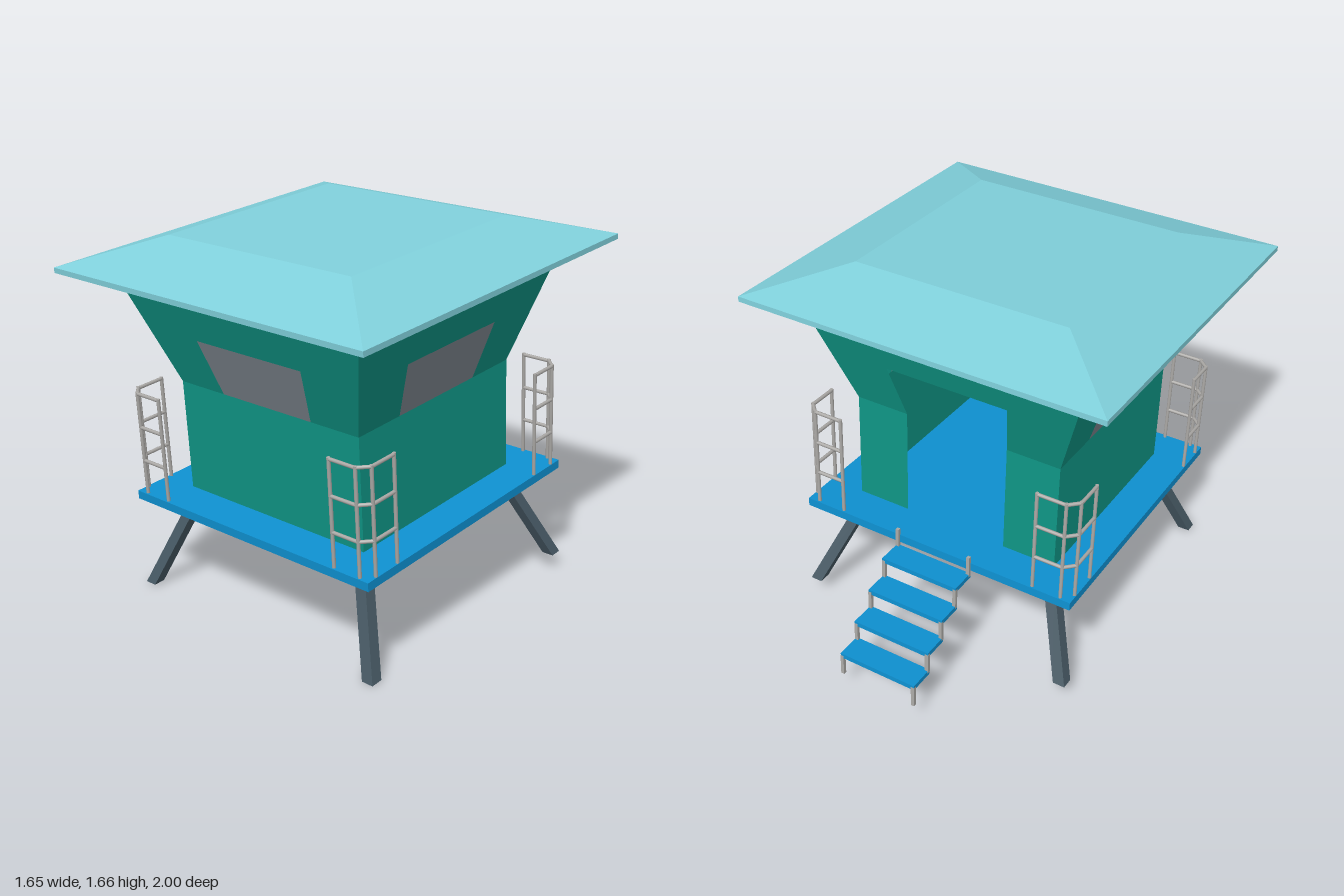
import * as THREE from 'three';
import { mergeGeometries } from 'three/addons/utils/BufferGeometryUtils.js';

const mat = (name, color, extra = {}) => new THREE.MeshStandardMaterial({ name, color, ...extra });
const V = (x, y, z) => new THREE.Vector3(x, y, z);

export function createModel() {
  const roofMat = mat('pale aqua', 0x7fcfda);
  const wallMat = mat('teal green', 0x0f9484, { side: THREE.DoubleSide });
  const glassMat = mat('window grey', 0x7f8890, { side: THREE.DoubleSide });
  const deckMat = mat('deck blue', 0x0e90d0);
  const legMat = mat('slate', 0x465863);
  const railMat = mat('rail grey', 0xaaa8a5);

  const add = (parent, name, geo, material, x = 0, y = 0, z = 0) => {
    const mesh = new THREE.Mesh(geo, material);
    mesh.name = name;
    mesh.position.set(x, y, z);
    parent.add(mesh);
    return mesh;
  };
  const makeGroup = (parent, name) => {
    const g = new THREE.Group();
    g.name = name;
    parent.add(g);
    return g;
  };

  // Round rod between two points
  const rod = (a, b, r) => {
    const d = b.clone().sub(a);
    const g = new THREE.CylinderGeometry(r, r, d.length(), 8);
    g.applyQuaternion(new THREE.Quaternion().setFromUnitVectors(V(0, 1, 0), d.normalize()));
    const m = a.clone().add(b).multiplyScalar(0.5);
    return g.translate(m.x, m.y, m.z);
  };
  // Square bar whose ends stay level, leaning from a (bottom) to b (top)
  const leaningBar = (a, b, w) => {
    const g = new THREE.BoxGeometry(w, 1, w).translate(0, 0.5, 0);
    const p = g.attributes.position;
    for (let i = 0; i < p.count; i++) {
      const c = a.clone().lerp(b, p.getY(i));
      p.setXYZ(i, p.getX(i) + c.x, c.y, p.getZ(i) + c.z);
    }
    const flat = g.toNonIndexed();
    flat.computeVertexNormals();
    return flat;
  };

  const model = new THREE.Group();
  model.name = 'lifeguardTower';
  // The whole tower leans slightly forward
  const tilted = makeGroup(model, 'tiltedTower');
  tilted.rotation.set(0.061, 0.008, -0.004);
  const tower = makeGroup(tilted, 'tower');
  tower.position.z = 0.084;

  // Deck
  add(tower, 'deck', new THREE.BoxGeometry(1.302, 0.038, 1.312), deckMat, 0, 0.492, 0);

  // Roof: thin eave slab with a hipped, flat-topped cap
  const roof = makeGroup(tower, 'roof');
  roof.position.z = 0.003;
  add(roof, 'eave', new THREE.BoxGeometry(1.634, 0.023, 1.634), roofMat, 0, 1.524, 0);
  const cap = new THREE.CylinderGeometry(0.484 * Math.SQRT2, 0.817 * Math.SQRT2, 0.108, 4)
    .rotateY(Math.PI / 4).toNonIndexed();
  cap.computeVertexNormals();
  add(roof, 'roofCap', cap, roofMat, 0, 1.5895, 0);

  // Cabin walls: upright below, flared above; k = 2 is the doorway side
  const Y = [0.511, 1.006, 1.256, 1.513];
  const half = y => 0.486 + Math.max(0, y - Y[1]) * 0.334;
  const panel = (u0, u1, y0, y1) => {
    const p = (u, y) => [u * half(y), y, half(y)];
    const g = new THREE.BufferGeometry();
    g.setAttribute('position', new THREE.Float32BufferAttribute(
      [p(u0, y0), p(u1, y0), p(u1, y1), p(u0, y0), p(u1, y1), p(u0, y1)].flat(), 3));
    g.computeVertexNormals();
    return g;
  };
  const gap = 0.495;
  const sides = ['front', 'left', 'back', 'right'];
  sides.forEach((side, k) => {
    const wall = makeGroup(tower, side + 'Wall');
    wall.rotation.y = k * Math.PI / 2;
    const parts = [
      panel(-1, -gap, Y[1], Y[2]), panel(gap, 1, Y[1], Y[2]), panel(-1, 1, Y[2], Y[3]),
    ];
    if (k === 2) parts.push(panel(-1, -gap, Y[0], Y[1]), panel(gap, 1, Y[0], Y[1]));
    else {
      parts.push(panel(-1, 1, Y[0], Y[1]));
      add(wall, 'window', panel(-gap, gap, Y[1], Y[2]), glassMat);
    }
    add(wall, 'wallPanels', mergeGeometries(parts), wallMat);
  });

  // Corner supports and corner railings, repeated by quarter turns
  for (let k = 0; k < 4; k++) {
    const corner = makeGroup(tower, 'corner' + (k + 1));
    corner.rotation.y = k * Math.PI / 2;
    add(corner, 'leg', leaningBar(V(0.63, 0.054, 0.635), V(0.462, 0.475, 0.465), 0.054), legMat);

    const a = V(0, 0.105, 0), b = V(0.45, 0.46, 0.45);
    const brace = add(corner, 'brace', new THREE.BoxGeometry(0.036, 0.036, a.distanceTo(b)), legMat);
    brace.position.copy(a).lerp(b, 0.5);
    brace.lookAt(brace.position.clone().add(b.clone().sub(a)));
    brace.quaternion.setFromRotationMatrix(new THREE.Matrix4().lookAt(b, a, V(0, 1, 0)));

    const plan = [[0.47, 0.643], [0.6, 0.643], [0.643, 0.6], [0.643, 0.47]];
    const rods = plan.map(([x, z]) => rod(V(x, 0.505, z), V(x, 0.982, z), 0.008));
    for (const y of [0.665, 0.82, 0.975])
      for (let i = 0; i < 3; i++)
        rods.push(rod(V(plan[i][0], y, plan[i][1]), V(plan[i + 1][0], y, plan[i + 1][1]), 0.008));
    add(corner, 'railing', mergeGeometries(rods), railMat);
  }
  add(tower, 'braceHub', new THREE.BoxGeometry(0.068, 0.062, 0.068), legMat, 0, 0.085, 0);

  // Rear steps: four treads hung from short posts
  const stairs = makeGroup(tower, 'stairs');
  const post = new THREE.BoxGeometry(0.015, 0.1, 0.015);
  for (let i = 0; i <= 4; i++) {
    const y = 0.444 - 0.098 * i, z = -0.712 - 0.1043 * i;
    if (i < 4) add(stairs, 'tread', new THREE.BoxGeometry(0.366, 0.022, 0.116), deckMat, 0, y, z);
    for (const s of [-1, 1])
      add(stairs, 'stairPost', post, railMat, s * 0.176, y + 0.049, z + 0.052);
  }
  return model;
}
